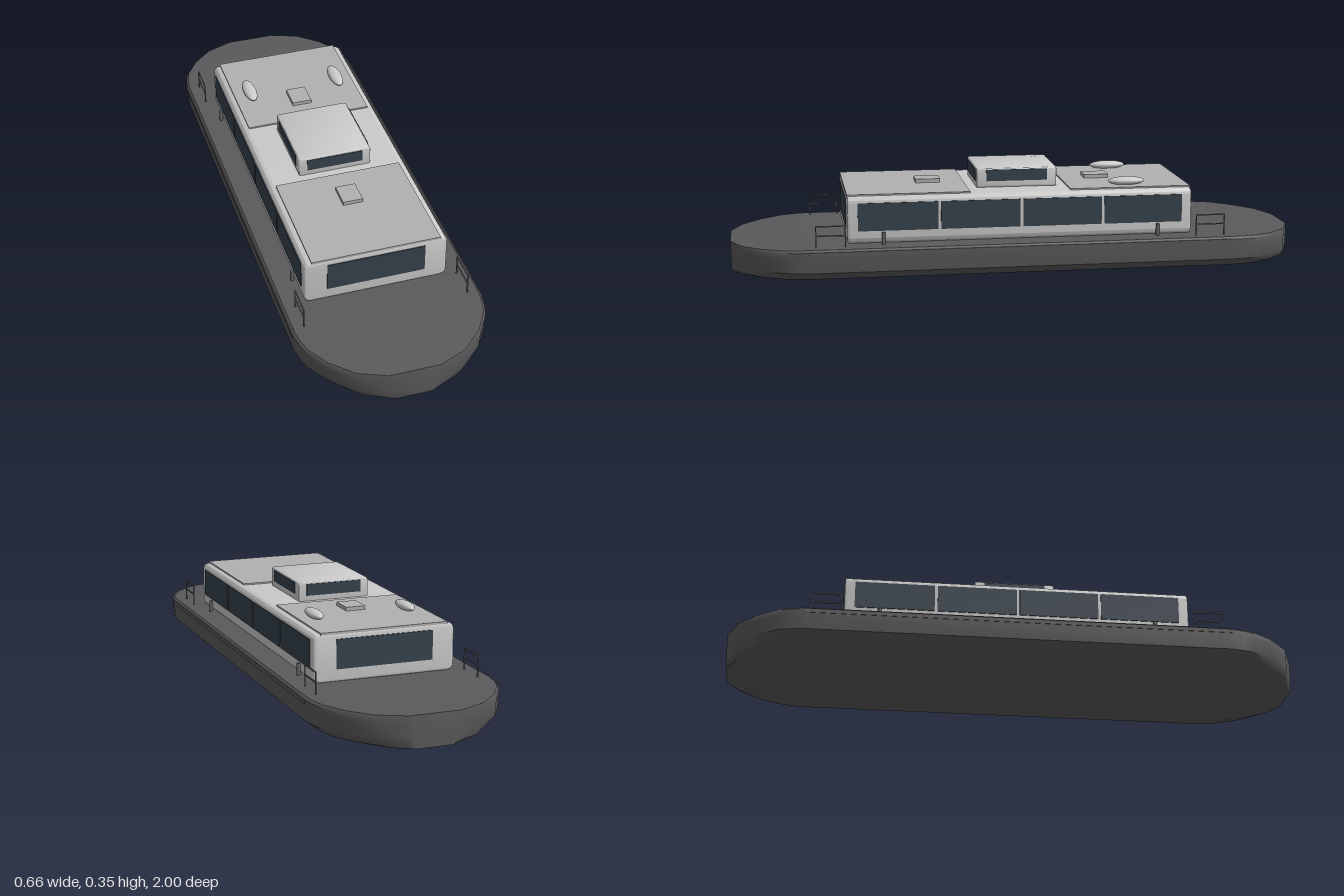
import * as THREE from 'three';
import { toCreasedNormals } from 'three/addons/utils/BufferGeometryUtils.js';

const mat = (color) => new THREE.MeshStandardMaterial({ color });
const grey = mat(0xcccccc), dark = mat(0x5a5a5c), glass = mat(0x36424c), steel = mat(0x666668), trim = mat(0xb0b0b2);

// Lofted hull: one half-section, scaled along the rounded plan outline
function hullGeometry() {
  const half = [[0.7, 0], [0.88, 0.012], [0.985, 0.04], [1, 0.095], [1, 0.112], [0.975, 0.12]];
  const section = [...half, ...half.slice().reverse().map(([x, y]) => [-x, y])];
  const bow = [[0.73, 0.33, 0], [0.78, 0.322, 0.001], [0.82, 0.31, 0.002], [0.89, 0.265, 0.005], [0.96, 0.19, 0.008], [1, 0.09, 0.01]];
  const stations = [...bow.slice().reverse().map(([z, w, d]) => [-z, w, d]), ...bow];
  const n = section.length, pos = [], index = [];
  for (const [z, w, drop] of stations)
    for (const [x, y] of section) pos.push(x * w, y - drop * (y > 0.09 ? 1 : 0), z);
  for (let i = 0; i < stations.length - 1; i++)
    for (let j = 0; j < n; j++) {
      const a = i * n + j, b = i * n + (j + 1) % n;
      index.push(a, b, b + n, a, b + n, a + n);
    }
  const last = (stations.length - 1) * n;
  for (let j = 1; j < n - 1; j++) index.push(0, j + 1, j, last, last + j, last + j + 1);
  const g = new THREE.BufferGeometry();
  g.setAttribute('position', new THREE.Float32BufferAttribute(pos, 3));
  g.setIndex(index);
  return toCreasedNormals(g, 0.7);
}

// Box with rounded long edges and softly bevelled ends, standing on y = 0
function houseGeometry(w, h, length, r, bevel) {
  const x = w / 2 - bevel, y0 = bevel, y1 = h - bevel;
  const s = new THREE.Shape();
  s.moveTo(-x + r, y0);
  s.lineTo(x - r, y0).absarc(x - r, y0 + r, r, -Math.PI / 2, 0);
  s.absarc(x - r, y1 - r, r, 0, Math.PI / 2);
  s.absarc(-x + r, y1 - r, r, Math.PI / 2, Math.PI);
  s.absarc(-x + r, y0 + r, r, Math.PI, Math.PI * 1.5);
  const depth = length - 2 * bevel;
  const g = new THREE.ExtrudeGeometry(s, { depth, bevelEnabled: true, bevelSize: bevel, bevelThickness: bevel, bevelSegments: 3, curveSegments: 6 });
  g.translate(0, 0, -depth / 2);
  return toCreasedNormals(g, 0.6);
}

export function createModel() {
  const model = new THREE.Group();
  const add = (name, geometry, material, x = 0, y = 0, z = 0, parent = model) => {
    const m = new THREE.Mesh(geometry, material);
    m.name = name;
    m.position.set(x, y, z);
    parent.add(m);
    return m;
  };
  const box = (name, material, w, h, d, x, y, z, parent) =>
    add(name, new THREE.BoxGeometry(w, h, d), material, x, y, z, parent);

  // Hull and rubbing strakes
  add('hull', hullGeometry(), dark);
  for (const s of [-1, 1]) box('rubbingStrake', dark, 0.012, 0.014, 1.47, s * 0.326, 0.106, 0);

  // Cabin and wheelhouse
  add('cabin', houseGeometry(0.5, 0.163, 1.204, 0.014, 0.008), grey, 0, 0.12, 0);
  add('wheelhouse', houseGeometry(0.262, 0.073, 0.284, 0.006, 0.005), grey, 0, 0.279, 0);

  // End windows, roof panels and hatches, front and back
  for (const s of [-1, 1]) {
    box('cabinEndWindow', glass, 0.342, 0.101, 0.008, 0, 0.2135, s * 0.601);
    box('wheelhouseEndWindow', glass, 0.202, 0.042, 0.006, 0, 0.323, s * 0.141);
    box('roofPanel', trim, 0.45, 0.008, 0.426, 0, 0.284, s * 0.389);
    box('roofHatch', trim, 0.07, 0.014, 0.088, 0, 0.294, s * 0.304);
  }

  // Parts repeated on each side
  for (const s of [-1, 1]) {
    for (let i = 0; i < 4; i++)
      box('cabinSideWindow', glass, 0.008, 0.097, 0.276, s * 0.249, 0.214, (i - 1.5) * 0.286);
    box('wheelhouseSideWindow', glass, 0.006, 0.04, 0.216, s * 0.13, 0.325, 0);

    // Roof pods
    const pod = add('roofPod', new THREE.SphereGeometry(1, 24, 16), grey, s * 0.166, 0.3, -0.385);
    pod.scale.set(0.024, 0.015, 0.065);

    for (const e of [-1, 1]) {
      // Mooring posts beside the cabin
      add('mooringPost', new THREE.CylinderGeometry(0.0065, 0.0065, 0.042, 12), steel, s * 0.257, 0.14, e * 0.48);

      // Deck railings
      const rail = new THREE.Group();
      rail.name = 'deckRailing';
      rail.position.set(s * 0.285, 0, e * 0.662);
      for (const z of [-0.05, 0.05]) box('railPost', steel, 0.004, 0.077, 0.004, 0, 0.156, z, rail);
      for (const y of [0.16, 0.193]) box('railBar', steel, 0.004, 0.004, 0.104, 0, y, 0, rail);
      model.add(rail);
    }
  }
  return model;
}
